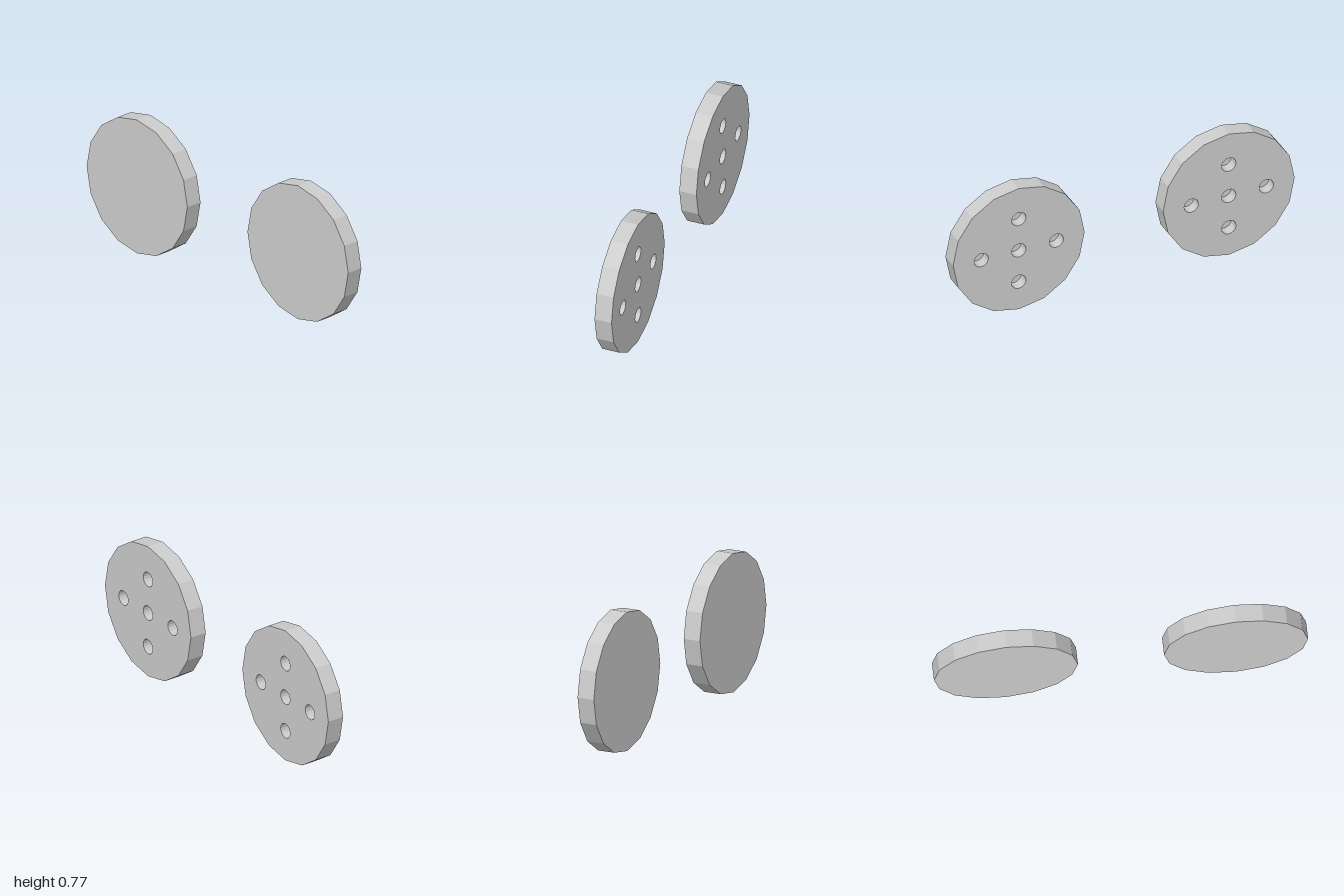
import * as THREE from 'three';

const RADIUS = 0.385, HALF = 0.0485, SIDES = 16;
const HOLE_R = 0.042, HOLE_DEPTH = 0.06;
const HOLES = [[0, -0.01], [0.22, -0.01], [-0.22, -0.01], [0, 0.19], [0, -0.21]];

const ring = (r, cx = 0, cy = 0) => Array.from({ length: SIDES }, (_, i) => {
  const a = (i / SIDES) * Math.PI * 2;
  return new THREE.Vector2(cx + r * Math.cos(a), cy + r * Math.sin(a));
});
const lathe = (...points) =>
  new THREE.LatheGeometry(points.map(([x, y]) => new THREE.Vector2(x, y)), SIDES);

export function createModel() {
  const material = new THREE.MeshStandardMaterial({ color: 0xcccccc, flatShading: true });
  const model = new THREE.Group();
  model.name = 'discPair';

  const add = (parent, name, geometry) => {
    const mesh = new THREE.Mesh(geometry, material);
    mesh.name = name;
    parent.add(mesh);
    return mesh;
  };

  // Rim and plain front face
  const shell = lathe([RADIUS, -HALF], [RADIUS, HALF], [0, HALF]).rotateX(Math.PI / 2);

  // Back face pierced by the five holes
  const shape = new THREE.Shape(ring(RADIUS));
  for (const [x, y] of HOLES) shape.holes.push(new THREE.Path(ring(HOLE_R, x, y)));
  const back = new THREE.ShapeGeometry(shape).rotateY(Math.PI).translate(0, 0, -HALF);

  // Blind hole: inward-facing wall and floor, opening towards the back
  const socket = lathe([HOLE_R, 0], [HOLE_R, -HOLE_DEPTH], [0, -HOLE_DEPTH]).rotateX(-Math.PI / 2);

  for (const side of [1, -1]) {
    const disc = new THREE.Group();
    disc.name = side > 0 ? 'leftDisc' : 'rightDisc';
    disc.position.set(side * (1 - RADIUS), RADIUS, 0);
    add(disc, 'rimAndFront', shell);
    add(disc, 'backFace', back);
    for (const [x, y] of HOLES) add(disc, 'pegHole', socket).position.set(x, y, -HALF);
    model.add(disc);
  }
  return model;
}
